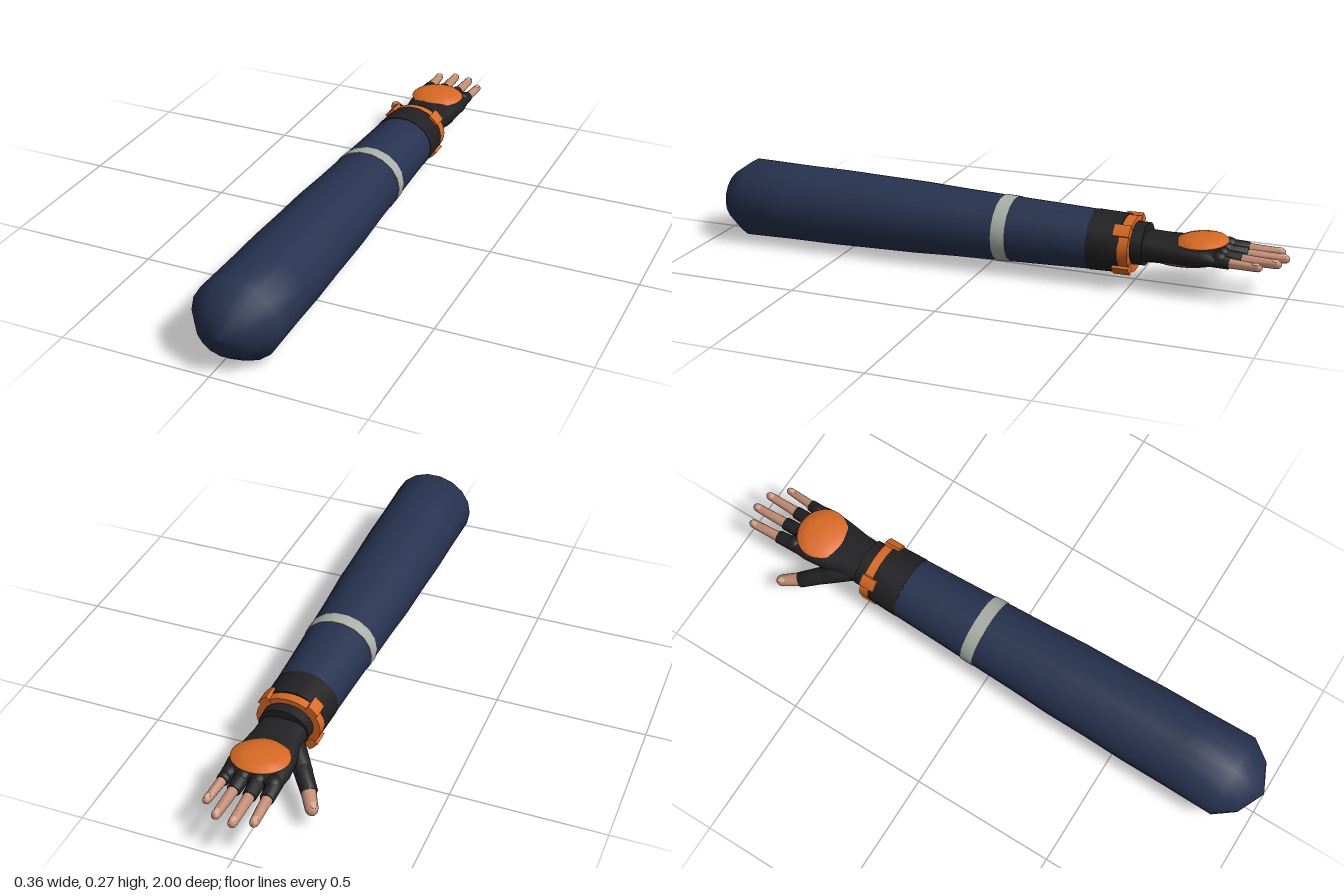
import * as THREE from 'three';
import { toCreasedNormals } from 'three/addons/utils/BufferGeometryUtils.js';

const mat = (color) => new THREE.MeshStandardMaterial({ color, roughness: 0.85 });
const navy = mat(0x27324f), black = mat(0x212123), orange = mat(0xd96a24);
const skin = mat(0xc48d74), grey = mat(0xaab0a8), leather = mat(0x5a4028), nail = mat(0xd8a890);
const CX = 0.031, CY = 0.135;

// Skin over superelliptic rings [z, cx, cy, rx, ry], ordered from +z to -z
function loft(rings, sides, power = 2) {
  const pos = [], idx = [];
  const bend = (v) => Math.sign(v) * Math.pow(Math.abs(v), 2 / power);
  rings.forEach(([z, cx, cy, rx, ry], i) => {
    for (let j = 0; j < sides; j++) {
      const a = (j / sides) * Math.PI * 2;
      pos.push(cx + rx * bend(Math.cos(a)), cy + ry * bend(Math.sin(a)), z);
      if (i === rings.length - 1) continue;
      const p = i * sides + j, q = i * sides + ((j + 1) % sides);
      idx.push(p, p + sides, q, q, p + sides, q + sides);
    }
  });
  const g = new THREE.BufferGeometry();
  g.setAttribute('position', new THREE.Float32BufferAttribute(pos, 3));
  g.setIndex(idx);
  return toCreasedNormals(g, 0.85);
}

// Concentric rings on the arm axis from [z, rx, ry]
const armLoft = (rows, sides = 18) => loft(rows.map(([z, rx, ry]) => [z, CX, CY, rx, ry]), sides);

// Elliptic band (whole or part) around the arm axis between two depths
function band(rx, ry, t, z0, z1, a0 = 0, a1 = Math.PI * 2) {
  const s = new THREE.Shape(), n = 36;
  const at = (k, d) => {
    const a = a0 + ((a1 - a0) * k) / n;
    return [CX + (rx - d) * Math.cos(a), CY + (ry - d) * Math.sin(a)];
  };
  s.moveTo(...at(0, 0));
  for (let k = 1; k <= n; k++) s.lineTo(...at(k, 0));
  for (let k = n; k >= 0; k--) s.lineTo(...at(k, t));
  const g = new THREE.ExtrudeGeometry(s, { depth: z1 - z0, bevelEnabled: false });
  g.translate(0, 0, z0);
  return toCreasedNormals(g, 0.6);
}

// Tapered limb from a to b; the far end is domed or flat
function limb(a, b, r0, r1, domed) {
  const A = new THREE.Vector3(...a), dir = new THREE.Vector3(...b).sub(A), L = dir.length();
  const pts = [[0, 0], [r0, 0]];
  if (domed) {
    for (let k = 0; k <= 5; k++) {
      const t = (k / 5) * Math.PI / 2;
      pts.push([k === 5 ? 0 : r1 * Math.cos(t), L - r1 * 1.2 * (1 - Math.sin(t))]);
    }
  } else pts.push([r1, L - 0.004], [r1 * 0.93, L], [0, L]);
  const g = new THREE.LatheGeometry(pts.map((p) => new THREE.Vector2(...p)), 14);
  g.applyQuaternion(new THREE.Quaternion().setFromUnitVectors(new THREE.Vector3(0, 1, 0), dir.normalize()));
  g.translate(...a);
  return toCreasedNormals(g, 0.9);
}

function ellipsoid(c, r) {
  return new THREE.SphereGeometry(1, 20, 14).scale(...r).translate(...c);
}

export function createModel() {
  const model = new THREE.Group();
  model.name = 'glovedArm';
  const add = (name, geometry, material, parent = model) => {
    const m = new THREE.Mesh(geometry, material);
    m.name = name;
    parent.add(m);
    return m;
  };

  // Sleeve with rounded upper end, stripe and dark cuff
  add('sleeve', armLoft([
    [1, 0, 0], [0.955, 0.095, 0.086], [0.885, 0.146, 0.135], [0.7, 0.143, 0.131], [0.55, 0.142, 0.13],
    [0.4, 0.137, 0.126], [0.25, 0.135, 0.122], [0.1, 0.127, 0.115], [-0.07, 0.121, 0.109],
    [-0.22, 0.115, 0.104], [-0.372, 0.11, 0.098], [-0.372, 0, 0],
  ]), navy);
  add('sleeveStripe', armLoft([
    [-0.048, 0.11, 0.1], [-0.048, 0.1245, 0.112], [-0.095, 0.1225, 0.11], [-0.095, 0.11, 0.1],
  ]), grey);
  add('sleeveCuff', armLoft([
    [-0.368, 0, 0], [-0.368, 0.1115, 0.1], [-0.476, 0.108, 0.097], [-0.476, 0, 0],
  ]), black);

  // Orange wrist clasp: ring with four diagonal tabs
  add('wristRing', band(0.108, 0.091, 0.026, -0.508, -0.474), orange);
  const tabs = new THREE.Group();
  tabs.name = 'wristTabs';
  model.add(tabs);
  for (const mid of [42, 138, 222, 318]) {
    const a = THREE.MathUtils.degToRad(mid), h = THREE.MathUtils.degToRad(11);
    add('wristTab', band(0.117, 0.106, 0.028, -0.51, -0.455, a - h, a + h), orange, tabs);
  }

  // Glove
  add('gloveCuff', loft([
    [-0.47, CX, 0.14, 0, 0], [-0.47, CX, 0.14, 0.086, 0.07], [-0.546, CX, 0.14, 0.084, 0.069],
    [-0.546, CX, 0.14, 0, 0],
  ], 24), black);
  add('gloveHand', loft([
    [-0.53, 0.03, 0.135, 0, 0], [-0.53, 0.03, 0.135, 0.078, 0.047], [-0.6, 0.03, 0.135, 0.082, 0.042],
    [-0.67, 0.028, 0.136, 0.095, 0.039], [-0.74, 0.028, 0.138, 0.102, 0.035],
    [-0.785, 0.028, 0.138, 0.098, 0.028], [-0.808, 0.027, 0.138, 0.085, 0.018], [-0.812, 0.027, 0.138, 0, 0],
  ], 28, 2.6), black);
  add('palmPad', ellipsoid([0.03, 0.109, -0.665], [0.082, 0.018, 0.115]), leather);
  add('thumbPad', ellipsoid([-0.025, 0.108, -0.635], [0.042, 0.024, 0.062]), leather);

  // Domed plate on the back of the hand
  const dome = [[0, -0.012], [0.088, -0.012], [0.094, -0.006], [0.085, 0.002], [0.055, 0.009], [0, 0.013]];
  const plate = add('handPlate', toCreasedNormals(
    new THREE.LatheGeometry(dome.map((p) => new THREE.Vector2(...p)), 32).scale(1, 1, 0.9), 0.9), orange);
  plate.position.set(0.027, 0.178, -0.724);
  plate.rotation.x = 0.05;

  // Fingers: [name, base x, tip x, glove end z, tip z, radius]
  const fingers = [
    ['indexFinger', -0.045, -0.057, -0.86, -0.976, 0.0185], ['middleFinger', 0.004, 0.001, -0.868, -1, 0.0185],
    ['ringFinger', 0.053, 0.061, -0.86, -0.986, 0.018], ['littleFinger', 0.099, 0.114, -0.832, -0.936, 0.0165],
  ];
  for (const [name, x0, x1, zg, z1, r] of fingers) {
    const g = new THREE.Group();
    g.name = name;
    model.add(g);
    const z0 = -0.74, xg = x0 + ((x1 - x0) * (zg - z0)) / (z1 - z0);
    add('gloveFinger', limb([x0, 0.14, z0], [xg, 0.137, zg], r + 0.008, r + 0.004), black, g);
    add('knuckle', ellipsoid([x0, 0.145, -0.795], [r + 0.008, r + 0.006, 0.028]), black, g);
    add('bareFinger', limb([xg, 0.137, zg + 0.02], [x1, 0.135, z1], r, r * 0.8, true), skin, g);
    add('fingernail', ellipsoid([x1, 0.146, z1 + 0.022], [r * 0.52, 0.005, 0.014]), nail, g);
  }

  // Thumb, angled outward and down
  const thumb = new THREE.Group();
  thumb.name = 'thumb';
  model.add(thumb);
  add('thumbBase', limb([-0.015, 0.122, -0.575], [-0.085, 0.099, -0.665], 0.036, 0.03), black, thumb);
  add('thumbJoint', ellipsoid([-0.085, 0.099, -0.665], [0.03, 0.028, 0.03]), black, thumb);
  add('gloveThumb', limb([-0.08, 0.101, -0.66], [-0.131, 0.078, -0.727], 0.03, 0.027), black, thumb);
  add('bareThumb', limb([-0.121, 0.082, -0.715], [-0.17, 0.062, -0.797], 0.024, 0.021, true), skin, thumb);
  const thumbnail = add('thumbnail', ellipsoid([0, 0, 0], [0.011, 0.004, 0.015]), nail, thumb);
  thumbnail.position.set(-0.164, 0.084, -0.776);
  thumbnail.rotation.set(-0.2, 0.5, 0.3);

  return model;
}
